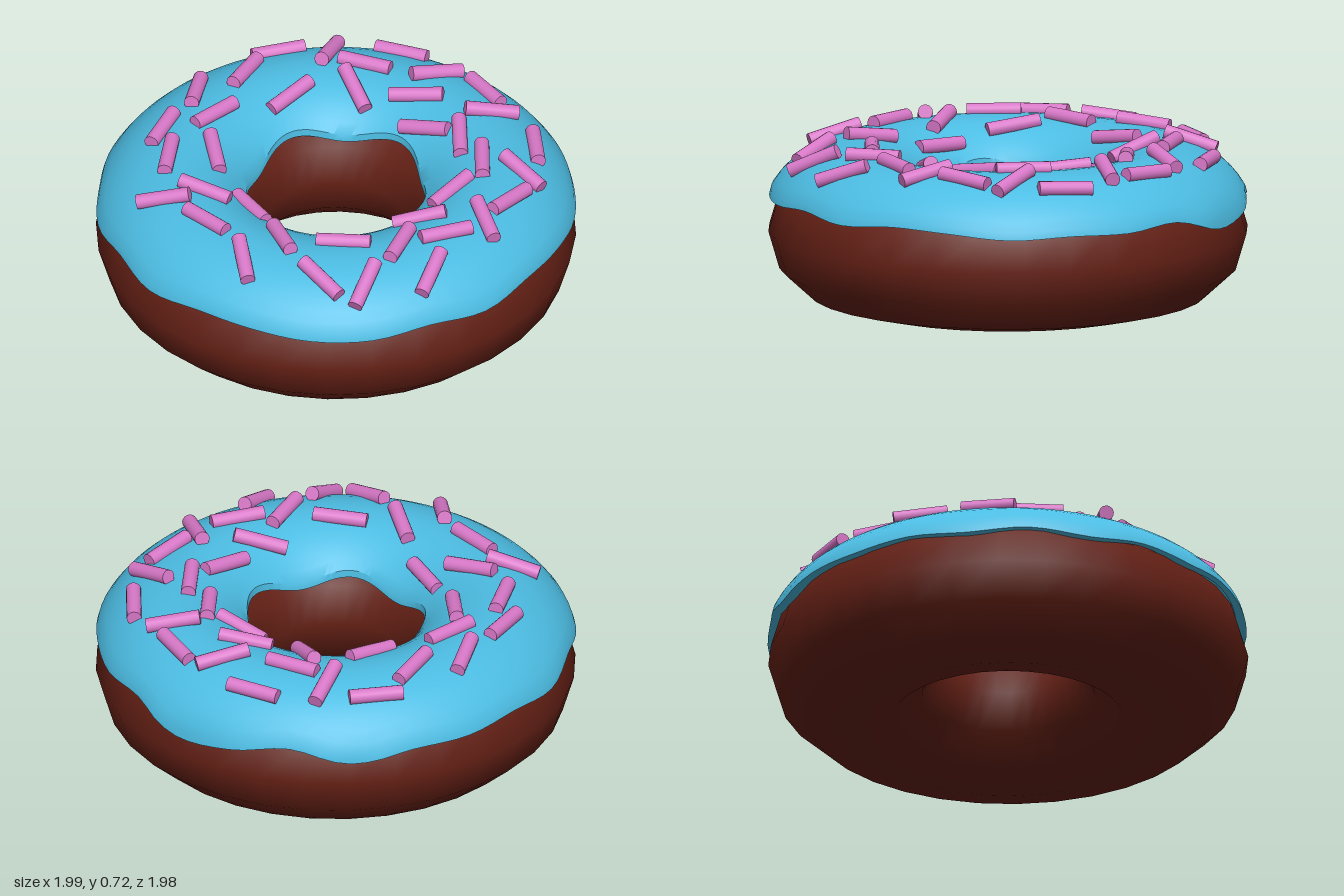
import * as THREE from 'three';
import { toCreasedNormals } from 'three/addons/utils/BufferGeometryUtils.js';

const RING = 0.65;          // radius of the ring's centre line
const MID = 0.31;           // height of the ring's centre line
const OUT = 0.375, IN = 0.36, RISE = 0.355; // icing half-widths and rise

const mat = (color, side = THREE.FrontSide) => new THREE.MeshStandardMaterial({ color, side });

// Height of the icing's lower edge every 15 degrees, from +x towards +z
const DRIPS = [0.40, 0.465, 0.45, 0.455, 0.445, 0.465, 0.475, 0.455, 0.475, 0.455, 0.455, 0.47,
  0.475, 0.45, 0.47, 0.44, 0.465, 0.44, 0.46, 0.445, 0.445, 0.41, 0.46, 0.42];

// Smooth closed interpolation through the drip heights
function dripHeight(t) {
  const n = DRIPS.length, s = t * n, i = Math.floor(s), f = s - i;
  const [a, b, c, d] = [-1, 0, 1, 2].map(k => DRIPS[(i + k + n) % n]);
  return b + 0.5 * f * (c - a + f * (2 * a - 5 * b + 4 * c - d + f * (3 * (b - c) + d - a)));
}

// Icing cross-section [radius, height], from outer underside over the top to inner underside
function icingProfile(t) {
  const edge = dripHeight(t), a = t * Math.PI * 2;
  const start = Math.asin((edge + 0.03 - MID) / RISE);
  const end = Math.PI - 0.66 - 0.07 * Math.sin(5 * a + 1) - 0.06 * Math.cos(a);
  const steps = 14, rows = [];
  for (let j = 0; j <= steps; j++) {
    const p = start + (end - start) * j / steps, c = Math.cos(p);
    rows.push([Math.min(RING + c * (c > 0 ? OUT : IN), 0.995), MID + RISE * Math.sin(p)]);
  }
  const [ro] = rows[0], [ri, yi] = rows[steps];
  return [
    [RING + 0.29, edge + 0.005], [Math.min(ro + 0.008, 1), edge],
    ...rows,
    [ri - 0.004, yi - 0.03], [ri + 0.05, yi - 0.045],
  ];
}

function icingGeometry(segments = 96) {
  const pos = [], index = [];
  let rows = 0;
  for (let i = 0; i < segments; i++) {
    const t = i / segments, a = t * Math.PI * 2, profile = icingProfile(t);
    rows = profile.length;
    for (const [r, y] of profile) pos.push(r * Math.cos(a), y, r * Math.sin(a));
  }
  for (let i = 0; i < segments; i++) {
    for (let j = 0; j < rows - 1; j++) {
      const a = i * rows + j, b = ((i + 1) % segments) * rows + j;
      index.push(a, a + 1, b, b, a + 1, b + 1);
    }
  }
  const g = new THREE.BufferGeometry();
  g.setAttribute('position', new THREE.Float32BufferAttribute(pos, 3));
  g.setIndex(index);
  return toCreasedNormals(g, 0.6);
}

// Height of the icing's top surface at x, z
function icingTop(x, z) {
  const d = Math.hypot(x, z) - RING;
  const u = Math.min(Math.abs(d) / (d > 0 ? OUT : IN), 0.8);
  return MID + RISE * Math.sqrt(1 - u * u);
}

// Sprinkles: x, z, heading in degrees (from +x towards +z)
const SPRINKLES = [
  [-0.24, -0.71, -12], [0.05, -0.75, -26], [0.27, -0.66, -10], [0.5, -0.66, 38],
  [-0.39, -0.57, -28], [-0.04, -0.59, 10], [0.6, -0.47, -18], [-0.23, -0.45, -46],
  [0.27, -0.43, 10], [-0.63, -0.42, 60], [-0.49, -0.31, 78], [-0.66, -0.18, -82],
  [-0.4, -0.14, -68], [0.6, -0.29, 75], [0.8, -0.25, 75], [0.46, -0.24, -60],
  [0.56, 0, 62], [0.73, -0.02, 35], [0.44, 0.13, 80], [0.77, 0.2, -70],
  [-0.77, 0.09, -46], [-0.57, 0.14, -55], [-0.44, 0.36, 60], [-0.68, 0.42, -80],
  [-0.59, 0.58, -12], [-0.32, 0.56, -15], [-0.1, 0.5, 52], [0.13, 0.49, 7],
  [0.35, 0.49, -37], [0.44, 0.31, -38], [0.65, 0.32, 48], [0.6, 0.58, -42],
  [-0.15, 0.67, 32], [-0.36, 0.75, -14], [0.03, 0.74, -55], [0.21, 0.735, 3],
  [0.4, 0.66, -82],
];

export function createModel() {
  const model = new THREE.Group();
  model.name = 'donut';

  // Dough ring
  const doughGeo = new THREE.TorusGeometry(RING, 0.34, 12, 32);
  doughGeo.rotateX(Math.PI / 2).scale(1, MID / 0.34, 1).translate(0, MID, 0);
  const dough = new THREE.Mesh(doughGeo, mat(0x642015));
  dough.name = 'dough';
  model.add(dough);

  // Icing with a wavy lip
  const icing = new THREE.Mesh(icingGeometry(), mat(0x4cbce2, THREE.DoubleSide));
  icing.name = 'icing';
  model.add(icing);

  // Sprinkles lying along the icing
  const sprinkles = new THREE.Group();
  sprinkles.name = 'sprinkles';
  const rod = new THREE.CylinderGeometry(0.031, 0.031, 0.225, 16);
  const pink = mat(0xd878c8);
  const up = new THREE.Vector3(0, 1, 0);
  for (const [x, z, deg] of SPRINKLES) {
    const a = THREE.MathUtils.degToRad(deg);
    const dx = 0.1 * Math.cos(a), dz = 0.1 * Math.sin(a);
    const slope = icingTop(x + dx, z + dz) - icingTop(x - dx, z - dz);
    const s = new THREE.Mesh(rod, pink);
    s.name = 'sprinkle';
    s.position.set(x, icingTop(x, z) + 0.01, z);
    s.quaternion.setFromUnitVectors(up, new THREE.Vector3(2 * dx, slope, 2 * dz).normalize());
    sprinkles.add(s);
  }
  model.add(sprinkles);
  return model;
}
